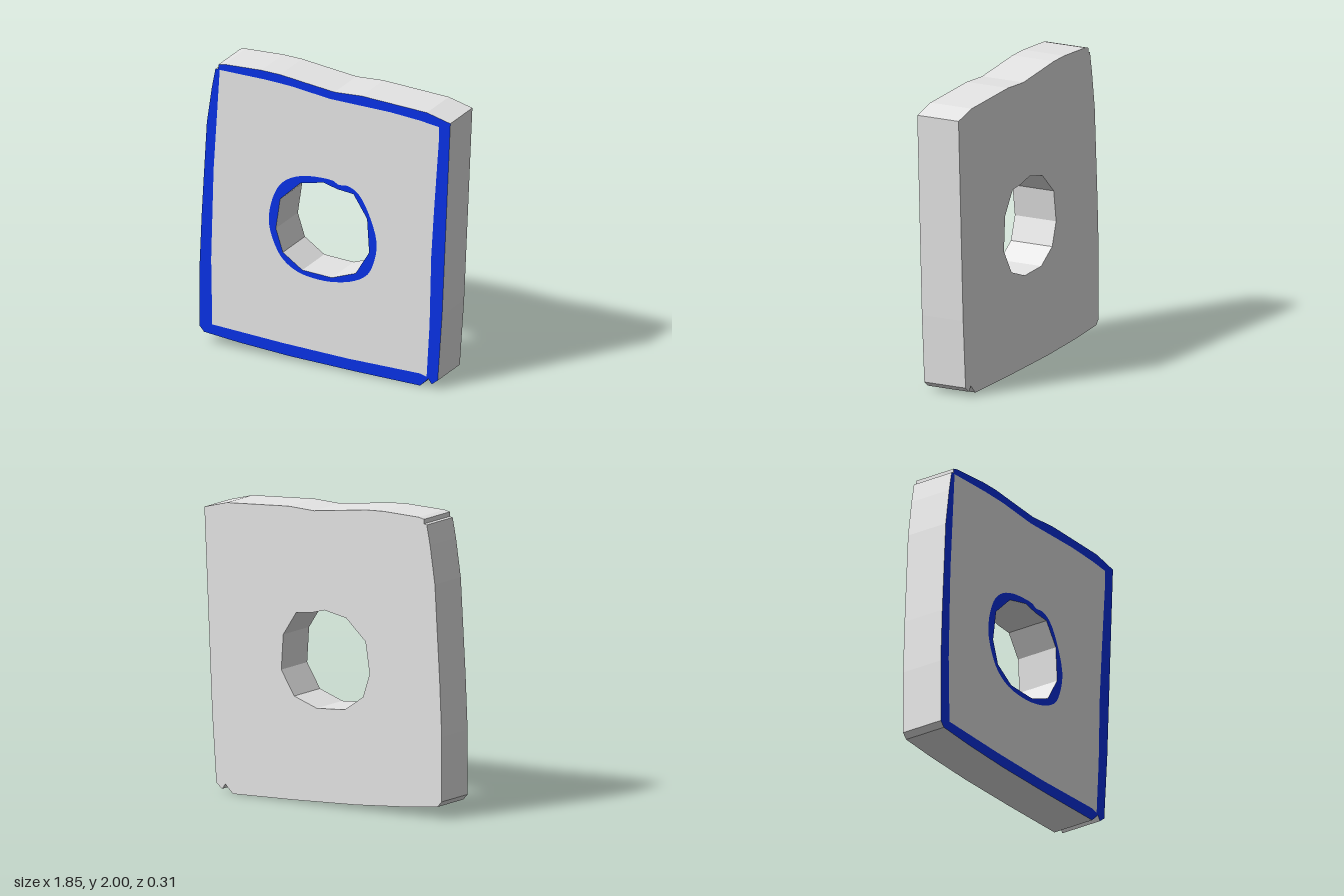
import * as THREE from 'three';

const HALF = 0.155; // half the slab thickness

// Closed clockwise outlines as [x, y] points
const outline = [
  [-0.785, 1.98], [-0.745, 1.99], [-0.47, 2], [-0.33, 1.995], [-0.15, 1.973], [0.07, 1.947],
  [0.27, 1.957], [0.75, 1.93], [0.923, 1.885], [0.862, 0.52], [0.83, 0.06], [0.785, 0.025],
  [0.76, 0.06], [0.743, 0.04], [0.7, 0], [0.22, 0.01], [-0.26, 0.027], [-0.63, 0.053],
  [-0.89, 0.08], [-0.923, 0.117], [-0.923, 0.55], [-0.907, 0.92], [-0.87, 1.555],
  [-0.833, 1.81], [-0.807, 1.945], [-0.786, 1.95],
];
const panelEdge = [
  [-0.775, 1.945], [-0.45, 1.94], [-0.26, 1.93], [0.04, 1.893], [0.48, 1.883], [0.7, 1.865],
  [0.84, 1.845], [0.84, 1.77], [0.802, 1.24], [0.782, 0.92], [0.77, 0.44], [0.748, 0.07],
  [0.7, 0.085], [0.17, 0.09], [-0.31, 0.11], [-0.83, 0.143], [-0.838, 0.6], [-0.82, 1.24],
];
const ringEdge = [
  [-0.035, 1.326], [0.06, 1.321], [0.1, 1.3], [0.165, 1.305], [0.245, 1.263], [0.325, 1.13],
  [0.38, 0.945], [0.365, 0.822], [0.315, 0.71], [0.22, 0.647], [0.087, 0.612], [-0.045, 0.605],
  [-0.2, 0.631], [-0.31, 0.7], [-0.373, 0.8], [-0.41, 0.918], [-0.41, 1.013], [-0.384, 1.12],
  [-0.336, 1.215], [-0.257, 1.28], [-0.15, 1.316],
];
const holeEdge = [
  [-0.01, 1.295], [0.09, 1.268], [0.21, 1.255], [0.31, 1.1], [0.325, 0.865], [0.225, 0.7],
  [0.05, 0.637], [-0.167, 0.65], [-0.31, 0.748], [-0.362, 0.907], [-0.33, 1.12], [-0.18, 1.26],
];

const points = (list) => list.map(([x, y]) => new THREE.Vector2(x, y));

// Rounded version of a closed outline
function smooth(list) {
  const curve = new THREE.CatmullRomCurve3(list.map(([x, y]) => new THREE.Vector3(x, y, 0)), true);
  return curve.getPoints(list.length * 3).slice(0, -1).map((p) => [p.x, p.y]);
}

// Shape bounded by one outline with another cut out of it, wound the opposite way
function cutShape(outer, inner) {
  const shape = new THREE.Shape(points(outer));
  shape.holes.push(new THREE.Path(points(inner).reverse()));
  return shape;
}

// Back, outer walls and hole walls; the front is left open for the coloured faces
function slabGeometry() {
  const full = new THREE.ExtrudeGeometry(cutShape([...outline].reverse(), [...holeEdge].reverse()), {
    depth: 2 * HALF, bevelEnabled: false,
  });
  full.translate(0, 0, -HALF);
  const pos = full.getAttribute('position');
  const normal = full.getAttribute('normal');
  const kept = [];
  for (let i = 0; i < pos.count; i += 3) {
    if (normal.getZ(i) > 0.9) continue;
    for (let j = i; j < i + 3; j++) kept.push(pos.getX(j), pos.getY(j), pos.getZ(j));
  }
  const geometry = new THREE.BufferGeometry();
  geometry.setAttribute('position', new THREE.Float32BufferAttribute(kept, 3));
  geometry.computeVertexNormals();
  return geometry;
}

export function createModel() {
  const grey = new THREE.MeshStandardMaterial({ color: 0xe6e6e6 });
  grey.name = 'light grey';
  const blue = new THREE.MeshStandardMaterial({ color: 0x0832e6 });
  blue.name = 'blue';

  const model = new THREE.Group();
  model.name = 'slabWithHole';
  const add = (name, geometry, material) => {
    const mesh = new THREE.Mesh(geometry, material);
    mesh.name = name;
    model.add(mesh);
  };
  const frontFace = (outer, inner) =>
    new THREE.ShapeGeometry(cutShape(outer, inner)).translate(0, 0, HALF);
  const ring = smooth(ringEdge);

  add('slabBody', slabGeometry(), grey);
  // Front surface: border, panel and ring meet edge to edge
  add('frontBorder', frontFace(outline, panelEdge), blue);
  add('frontPanel', frontFace(panelEdge, ring), grey);
  add('holeRing', frontFace(ring, holeEdge), blue);
  return model;
}
